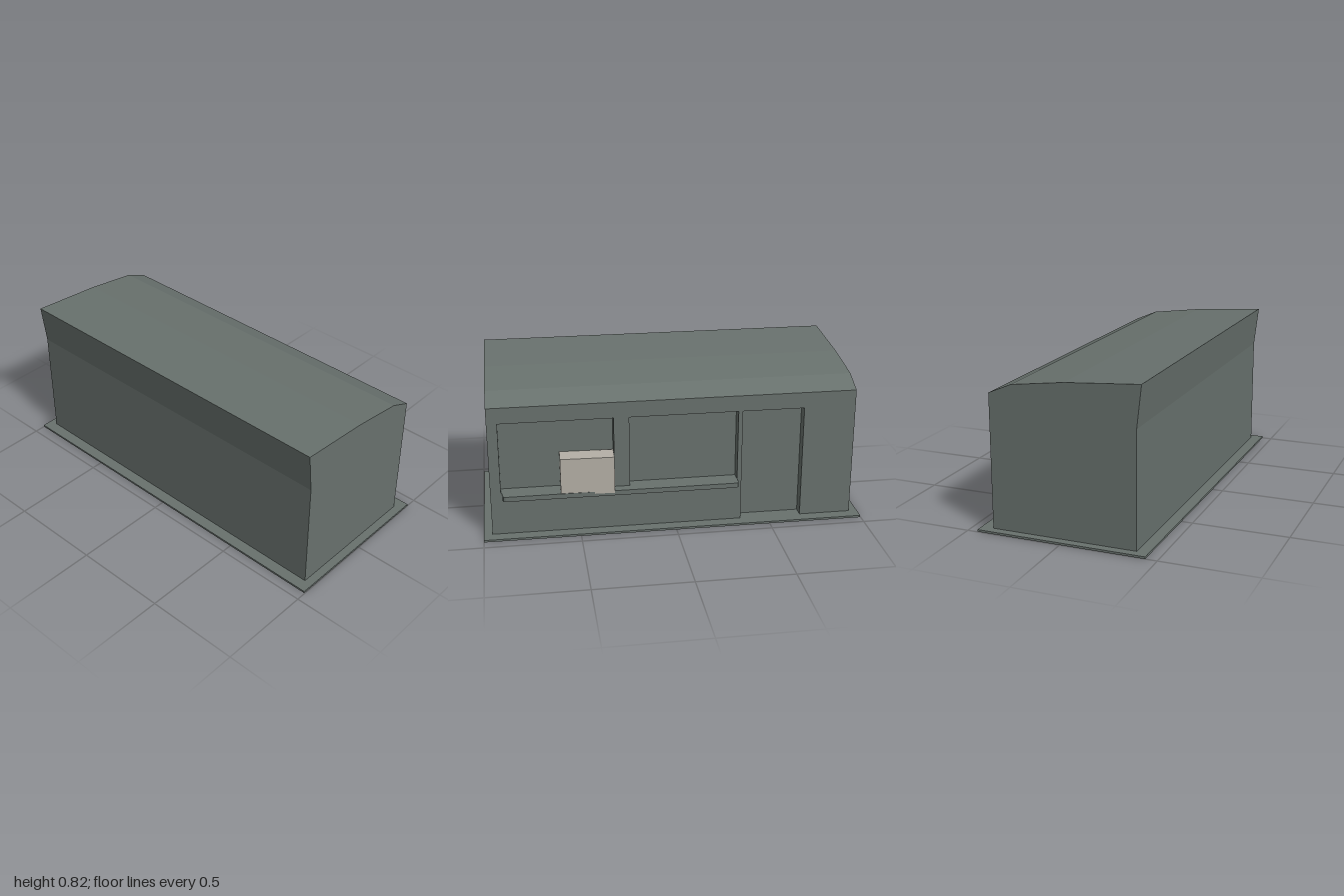
import * as THREE from 'three';

export function createModel() {
  const group = new THREE.Group();
  const grey = new THREE.MeshStandardMaterial({ color: 0x68716d });
  grey.name = 'wall grey';
  const beige = new THREE.MeshStandardMaterial({ color: 0xb5b0a7 });
  beige.name = 'pale beige';

  const add = (name, geometry, material, parent) => {
    const mesh = new THREE.Mesh(geometry, material);
    mesh.name = name;
    parent.add(mesh);
    return mesh;
  };
  const shapeOf = (points) => new THREE.Shape(points.map(([x, y]) => new THREE.Vector2(x, y)));
  const extrude = (shape, depth) => new THREE.ExtrudeGeometry(shape, { depth, bevelEnabled: false });

  // The building sits very slightly turned on its axis
  const building = new THREE.Group();
  building.name = 'building';
  building.rotation.y = -0.0035;
  group.add(building);

  const end = 0.954, wallX = 0.379, recessX = 0.32, eaves = 0.705, floor = 0.011;

  // Ground slab
  add('groundSlab', new THREE.BoxGeometry(0.887, floor, 1.997).translate(0, floor / 2, 0), grey, building);

  // Main volume with the curved roof, stepped back behind the service side
  const core = shapeOf([
    [-0.383, 0.005], [recessX, 0.005], [recessX, eaves], [wallX, eaves],
    [0.258, 0.757], [-0.02, 0.794], [-0.407, 0.823], [-0.383, 0.61],
  ]);
  add('bodyAndRoof', extrude(core, end * 2).translate(0, 0, -end), grey, building);

  // Service side: horizontal shape axis is -z, with a doorway notch and two window openings
  const facade = shapeOf([
    [-end, 0.005], [0.355, 0.005], [0.355, 0.62], [0.68, 0.62],
    [0.68, 0.005], [end, 0.005], [end, eaves], [-end, eaves],
  ]);
  for (const [z0, z1] of [[0.9, 0.315], [0.235, -0.332]]) {
    facade.holes.push(new THREE.Path([
      new THREE.Vector2(-z0, 0.239), new THREE.Vector2(-z0, 0.62),
      new THREE.Vector2(-z1, 0.62), new THREE.Vector2(-z1, 0.239),
    ]));
  }
  add('serviceWall', extrude(facade, wallX - recessX).rotateY(Math.PI / 2).translate(recessX, 0, 0), grey, building);

  // Counter shelf with clipped outer corners: vertical shape axis is -z
  const counter = shapeOf([
    [0.36, -0.893], [0.416, -0.893], [0.427, -0.888], [0.432, -0.877],
    [0.432, 0.317], [0.427, 0.328], [0.416, 0.333], [0.36, 0.333],
  ]);
  add('counterShelf', extrude(counter, 0.026).rotateX(-Math.PI / 2).translate(0, 0.215, 0), grey, building);

  // Box standing on the counter
  const box = add('counterBox', new THREE.BoxGeometry(0.105, 0.199, 0.277), beige, group);
  box.position.set(0.377, 0.33, 0.457);
  box.rotation.y = -0.03;

  return group;
}
